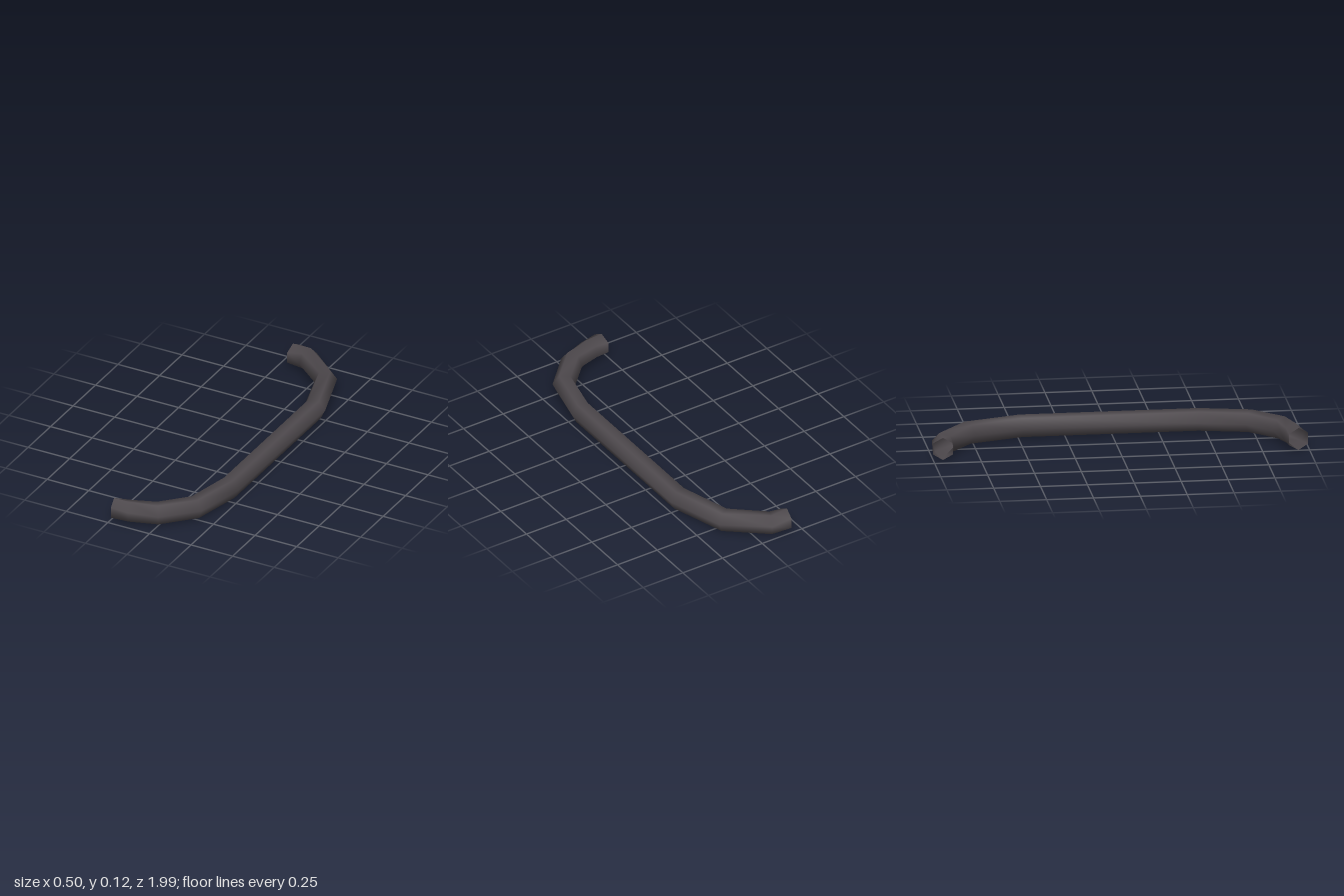
import * as THREE from 'three';

// Bent six-sided tube lying flat, open at both ends
const SIDES = 6;
const RADIUS = 0.061;

// Centre line from back to front: x, z, twist in degrees
const PATH = [
  [-0.19, -0.948, 30], [-0.093, -0.937, 12], [0.098, -0.78, 5], [0.19, -0.484, 4],
  [0.19, 0.463, 4], [0.13, 0.73, 5], [-0.016, 0.88, 8], [-0.155, 0.927, 18], [-0.244, 0.942, 30],
];

function bentTube(path) {
  const points = path.map(([x, z]) => new THREE.Vector3(x, RADIUS, z));
  const directions = points.slice(1).map((p, i) => p.clone().sub(points[i]).normalize());
  const positions = [];
  const indices = [];
  points.forEach((centre, i) => {
    // Each ring lies in the plane that halves the bend
    const before = directions[Math.max(i - 1, 0)];
    const after = directions[Math.min(i, directions.length - 1)];
    const tangent = before.clone().add(after).normalize();
    const outward = new THREE.Vector3(tangent.z, 0, -tangent.x);
    const twist = THREE.MathUtils.degToRad(path[i][2]);
    for (let j = 0; j < SIDES; j++) {
      const angle = twist + (j / SIDES) * Math.PI * 2;
      const p = centre.clone().addScaledVector(outward, RADIUS * Math.cos(angle));
      positions.push(p.x, p.y + RADIUS * Math.sin(angle), p.z);
      if (i === points.length - 1) continue;
      const a = i * SIDES + j;
      const b = i * SIDES + ((j + 1) % SIDES);
      indices.push(a, b, b + SIDES, a, b + SIDES, a + SIDES);
    }
  });
  const geometry = new THREE.BufferGeometry();
  geometry.setAttribute('position', new THREE.Float32BufferAttribute(positions, 3));
  geometry.setIndex(indices);
  geometry.computeVertexNormals();
  return geometry;
}

export function createModel() {
  const darkGrey = new THREE.MeshStandardMaterial({ color: 0x4e494d, side: THREE.DoubleSide });
  darkGrey.name = 'darkGrey';
  const tube = new THREE.Mesh(bentTube(PATH), darkGrey);
  tube.name = 'bentTube';
  const group = new THREE.Group();
  group.name = 'bentBar';
  group.add(tube);
  return group;
}
